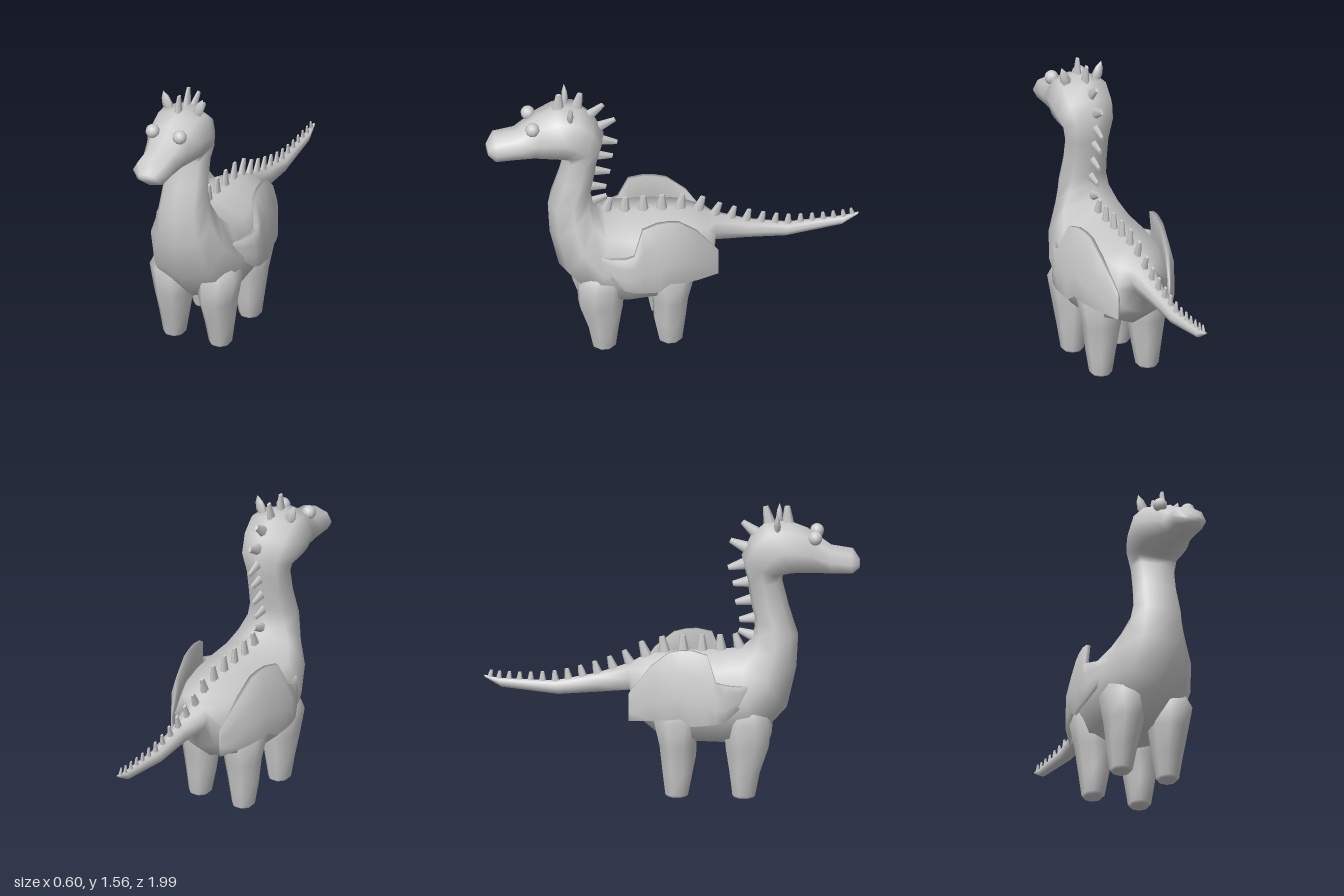
import * as THREE from 'three';

const grey = new THREE.MeshStandardMaterial({ color: 0xcccccc });

// Skin a row of closed rings; side = -1 mirrors it across x.
function loft(name, rings, side = 1) {
  const rows = rings.map(r => {
    const pts = r.map(([x, y, z]) => [x * side, y, z]);
    return side < 0 ? pts.reverse() : pts;
  });
  const n = rows[0].length, pos = rows.flat(2), idx = [];
  const vertex = (i, j) => i * n + (j % n);
  for (let i = 0; i < rows.length - 1; i++) {
    for (let j = 0; j < n; j++) {
      const a = vertex(i, j), b = vertex(i, j + 1), c = vertex(i + 1, j), d = vertex(i + 1, j + 1);
      idx.push(a, c, b, b, c, d);
    }
  }
  // End caps
  for (const i of [0, rows.length - 1]) {
    const centre = pos.length / 3;
    for (let k = 0; k < 3; k++) pos.push(rows[i].reduce((s, p) => s + p[k], 0) / n);
    for (let j = 0; j < n; j++) {
      const a = vertex(i, j), b = vertex(i, j + 1);
      if (i === 0) idx.push(centre, a, b); else idx.push(centre, b, a);
    }
  }
  const geo = new THREE.BufferGeometry();
  geo.setAttribute('position', new THREE.Float32BufferAttribute(pos, 3));
  geo.setIndex(idx);
  geo.computeVertexNormals();
  const mesh = new THREE.Mesh(geo, grey);
  mesh.name = name;
  return mesh;
}

// Sections from tail to snout: back z, back y, belly z, belly y, half width
const TAIL = [
  [-0.995, 0.61, -0.985, 0.595, 0.008], [-0.92, 0.595, -0.9, 0.545, 0.02],
  [-0.62, 0.585, -0.6, 0.51, 0.034], [-0.4, 0.63, -0.4, 0.525, 0.046], [-0.22, 0.69, -0.22, 0.54, 0.075],
];
const TORSO = [
  [-0.17, 0.72, -0.21, 0.42, 0.15], [-0.05, 0.755, -0.08, 0.31, 0.225], [0.1, 0.765, 0.1, 0.265, 0.265],
  [0.25, 0.77, 0.27, 0.26, 0.275], [0.37, 0.785, 0.45, 0.28, 0.26], [0.42, 0.83, 0.61, 0.46, 0.215],
];
const NECK = [
  [0.44, 0.9, 0.66, 0.68, 0.158], [0.435, 0.96, 0.67, 0.86, 0.135],
  [0.415, 1.05, 0.62, 1.02, 0.125], [0.4, 1.16, 0.585, 1.16, 0.127],
];
const HEAD = [
  [0.37, 1.29, 0.59, 1.19, 0.145], [0.42, 1.4, 0.63, 1.192, 0.163], [0.5, 1.475, 0.67, 1.195, 0.168],
  [0.62, 1.482, 0.71, 1.195, 0.155], [0.72, 1.445, 0.76, 1.195, 0.125], [0.84, 1.355, 0.85, 1.195, 0.1],
  [0.955, 1.335, 0.96, 1.197, 0.1], [0.995, 1.275, 0.995, 1.23, 0.05],
];
const SPINE = [...TAIL, ...TORSO, ...NECK, ...HEAD];

function sectionRing([zt, yt, zb, yb, w]) {
  return Array.from({ length: 8 }, (_, j) => {
    const a = j / 8 * Math.PI * 2;
    const round = v => Math.sign(v) * Math.pow(Math.abs(v), 0.9);
    const s = round(Math.sin(a)), t = (round(Math.cos(a)) + 1) / 2;
    return [w * s, yb + (yt - yb) * t, zb + (zt - zb) * t];
  });
}

// Leg rings: y, centre x, centre z, half width, half depth
function leg(name, side, z0, flare) {
  const rows = [
    [0, 0.135, 0, 0.045, 0.048], [0.012, 0.135, 0, 0.056, 0.06], [0.14, 0.133, 0.005, 0.075, 0.08],
    [0.28, 0.13, flare * 0.3, 0.095, 0.09 + flare * 0.4], [0.42, 0.135, flare * 0.3, 0.115, 0.12], [0.52, 0.13, 0, 0.08, 0.09],
  ];
  return loft(name, rows.map(([y, x, dz, w, d]) => Array.from({ length: 8 }, (_, j) => {
    const a = (j + 0.5) / 8 * Math.PI * 2;
    return [x + w * Math.cos(a) / 0.924, y, z0 + dz + d * Math.sin(a) / 0.924];
  })), side);
}

// Folded wing stations from back to front: z, low y, high y, outer x
const WING = [
  [-0.22, 0.41, 0.56, 0.155], [-0.1, 0.435, 0.725, 0.232], [0, 0.45, 0.805, 0.268], [0.06, 0.46, 0.818, 0.28],
  [0.12, 0.42, 0.82, 0.29], [0.2, 0.43, 0.8, 0.298], [0.25, 0.435, 0.66, 0.298], [0.3, 0.45, 0.645, 0.293],
  [0.37, 0.51, 0.632, 0.262], [0.44, 0.61, 0.628, 0.21],
];
function wing(side) {
  return loft('wing', WING.map(([z, lo, hi, x], i) => {
    const thick = i === 0 || i === WING.length - 1 ? 0.015 : 0.045;
    const outer = [1, 0.67, 0.33, 0].map(t => {
      const y = lo + (hi - lo) * t;
      return [x - Math.max(0, y - 0.62) * 0.28, y, z];
    });
    const inner = outer.map(([px, y], k) => [px - thick * [0.5, 1, 1, 0.5][k], y, z]).reverse();
    return [...outer, ...inner];
  }), side);
}

// Row of blunt plates along the back, shrinking towards the tail tip
function backSpikes() {
  const group = new THREE.Group();
  group.name = 'backSpikes';
  const top = SPINE.slice(0, -4).reverse().map(s => new THREE.Vector3(0, s[1], s[0]));
  const path = new THREE.CatmullRomCurve3(top, false, 'centripetal');
  const length = path.getLength();
  const geo = new THREE.CylinderGeometry(0.016, 0.036, 0.1, 6).translate(0, 0.03, 0);
  for (let s = 0.005; s < length - 0.02;) {
    const u = s / length;
    const size = u < 0.6 ? 1 : 1 - (u - 0.6) * 1.4;
    const t = path.getTangentAt(u);
    const spike = new THREE.Mesh(geo, grey);
    spike.name = 'spike';
    spike.position.copy(path.getPointAt(u));
    spike.quaternion.setFromUnitVectors(new THREE.Vector3(0, 1, 0), new THREE.Vector3(0, -t.z, t.y).normalize());
    spike.scale.set(size * 0.55, size, size * 0.95);
    group.add(spike);
    s += 0.1 * size;
  }
  return group;
}

export function createModel() {
  const model = new THREE.Group();
  model.name = 'dragon';
  model.add(loft('body', SPINE.map(sectionRing)), backSpikes());

  const eyeGeo = new THREE.SphereGeometry(0.038, 10, 8);
  // Leaf-shaped horn profile
  const hornGeo = new THREE.LatheGeometry(
    [[0.018, 0], [0.03, 0.045], [0.022, 0.085], [0.001, 0.12]].map(p => new THREE.Vector2(...p)), 6);

  for (const side of [1, -1]) {
    model.add(leg('frontLeg', side, 0.39, 0.06), leg('hindLeg', side, 0.035, 0), wing(side));

    const eye = new THREE.Mesh(eyeGeo, grey);
    eye.name = 'eye';
    eye.position.set(side * 0.08, 1.408, 0.765);
    model.add(eye);

    const horn = new THREE.Mesh(hornGeo, grey);
    horn.name = 'horn';
    horn.position.set(side * 0.078, 1.43, 0.565);
    horn.rotation.z = -side * 0.32;
    horn.scale.z = 0.6;
    model.add(horn);
  }
  return model;
}
